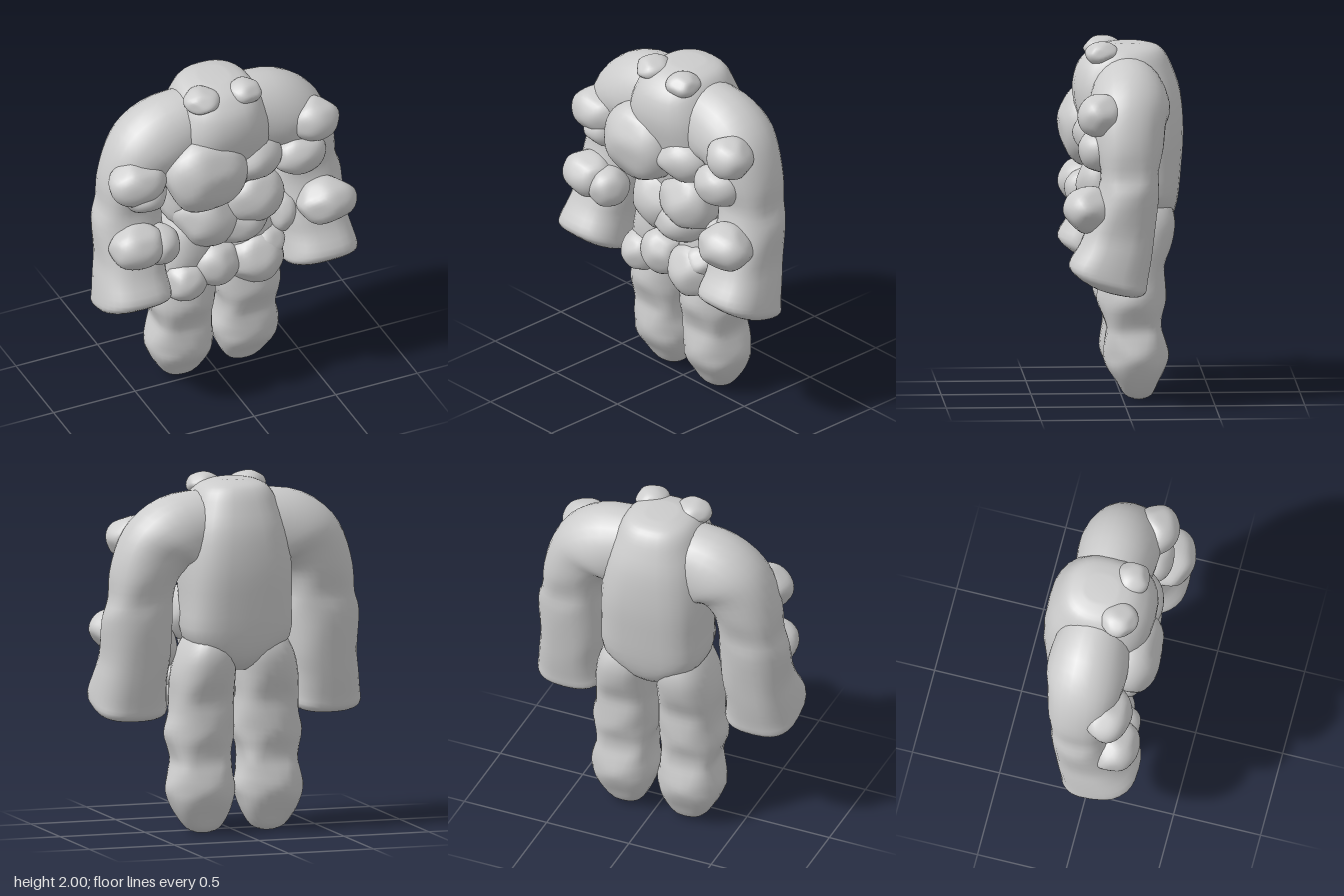
import * as THREE from 'three';
import { mergeVertices } from 'three/addons/utils/BufferGeometryUtils.js';

const stone = new THREE.MeshStandardMaterial({ color: 0xcccccc });
stone.name = 'grey stone';

// Small seeded generator for the rock shapes
function seeded(seed) {
  let s = seed * 7919 + 17;
  return () => (s = (s * 16807) % 2147483647) / 2147483647;
}

// Smoothly interpolate rows of numbers (Catmull-Rom)
function refine(rows, steps) {
  const out = [];
  for (let i = 0; i < rows.length - 1; i++) {
    const a = rows[Math.max(i - 1, 0)], b = rows[i], c = rows[i + 1], d = rows[Math.min(i + 2, rows.length - 1)];
    for (let k = 0; k < steps; k++) {
      const t = k / steps;
      out.push(b.map((v, j) => v + 0.5 * t * (c[j] - a[j] + t * (2 * a[j] - 5 * v + 4 * c[j] - d[j] + t * (3 * (v - c[j]) + d[j] - a[j])))));
    }
  }
  out.push(rows[rows.length - 1]);
  return out;
}

// Loft rounded sections, bottom to top: [x, y, z, width radius, depth radius, squareness, roll, pitch]
function loft(name, rows, side = 1) {
  const rings = refine(rows, 3), n = 28, pos = [], idx = [];
  const tri = (a, b, c) => (side > 0 ? idx.push(a, b, c) : idx.push(a, c, b));
  const bend = (v, power) => Math.sign(v) * Math.abs(v) ** (2 / power);
  for (const [x, y, z, ru, rw, power, roll, pitch] of rings) {
    for (let j = 0; j < n; j++) {
      const t = (j / n) * Math.PI * 2, u = bend(Math.cos(t), power) * ru, w = bend(Math.sin(t), power) * rw;
      pos.push(side * (x + u * Math.cos(roll)), y + u * Math.sin(roll) + w * Math.sin(pitch), z + w * Math.cos(pitch));
    }
  }
  const at = (i, j) => i * n + (j % n), last = rings.length - 1;
  for (let i = 0; i < last; i++) {
    for (let j = 0; j < n; j++) {
      tri(at(i, j), at(i + 1, j), at(i, j + 1));
      tri(at(i + 1, j), at(i + 1, j + 1), at(i, j + 1));
    }
  }
  // End caps
  for (const r of [rings[0], rings[last]]) pos.push(side * r[0], r[1], r[2]);
  const c0 = rings.length * n;
  for (let j = 0; j < n; j++) {
    tri(c0, at(0, j), at(0, j + 1));
    tri(c0 + 1, at(last, j + 1), at(last, j));
  }
  const g = new THREE.BufferGeometry();
  g.setAttribute('position', new THREE.Float32BufferAttribute(pos, 3));
  g.setIndex(idx);
  g.computeVertexNormals();
  const mesh = new THREE.Mesh(g, stone);
  mesh.name = name;
  return mesh;
}

// Worn boulder: a ball softly cut by random planes
function rock(name, seed, [x, y, z], [rx, ry, rz]) {
  const rnd = seeded(seed), v = new THREE.Vector3();
  const planes = Array.from({ length: 14 }, (_, i) => {
    const h = 1 - (2 * i + 1) / 14, a = i * 2.4 + rnd() * 1.2, r = Math.sqrt(1 - h * h);
    return { n: new THREE.Vector3(r * Math.cos(a), h, r * Math.sin(a)), d: 0.93 + 0.14 * rnd() };
  });
  let g = new THREE.IcosahedronGeometry(1, 6);
  g.deleteAttribute('uv');
  g.deleteAttribute('normal');
  g = mergeVertices(g, 1e-4);
  const p = g.attributes.position;
  for (let i = 0; i < p.count; i++) {
    v.fromBufferAttribute(p, i).normalize();
    let sum = 0.15;
    for (const { n, d } of planes) sum += Math.max(n.dot(v) / d, 0) ** 24;
    const r = sum ** (-1 / 24);
    p.setXYZ(i, v.x * r * rx, v.y * r * ry, v.z * r * rz);
  }
  g.computeVertexNormals();
  const mesh = new THREE.Mesh(g, stone);
  mesh.name = name;
  mesh.position.set(x, y, z);
  return mesh;
}

// Upright section given by its back and front depth
const slab = (x, y, rx, back, front, power = 2.4) => [x, y, (back + front) / 2, rx, (front - back) / 2, power, 0, 0];

export function createModel() {
  const model = new THREE.Group();
  model.name = 'rock golem';

  // Torso with the head sunk into it
  model.add(loft('torso', [
    slab(0, 0.92, 0.06, -0.2, -0.05), slab(0, 0.98, 0.17, -0.275, 0.06), slab(0, 1.1, 0.295, -0.315, 0.12, 3),
    slab(0, 1.3, 0.305, -0.337, 0.16, 3), slab(0, 1.5, 0.31, -0.35, 0.22, 2.8), slab(0, 1.7, 0.295, -0.335, 0.27, 2.5),
    slab(0, 1.84, 0.25, -0.29, 0.25), slab(0, 1.92, 0.21, -0.25, 0.19), slab(0, 1.96, 0.16, -0.205, 0.13),
    slab(0, 1.98, 0.08, -0.13, 0.05),
  ]));

  // Knobbly legs: round at the bulges, squarer at the waists
  const legRows = [
    slab(0.19, 0, 0.04, -0.12, -0.06, 2), slab(0.19, 0.025, 0.095, -0.165, -0.01, 2.3), slab(0.195, 0.1, 0.145, -0.2, 0.035, 2.8),
    slab(0.2, 0.18, 0.18, -0.24, 0.09, 2.4), slab(0.2, 0.25, 0.2, -0.26, 0.11, 1.9), slab(0.2, 0.33, 0.175, -0.24, 0.1, 2.7),
    slab(0.195, 0.4, 0.158, -0.218, 0.09, 3.8), slab(0.2, 0.47, 0.17, -0.22, 0.11, 2.9), slab(0.2, 0.56, 0.2, -0.245, 0.145, 1.9),
    slab(0.19, 0.66, 0.18, -0.24, 0.13), slab(0.19, 0.76, 0.17, -0.235, 0.12, 3), slab(0.185, 0.88, 0.175, -0.28, 0.14, 2.3),
    slab(0.17, 1.0, 0.16, -0.295, 0.13), slab(0.155, 1.1, 0.125, -0.265, 0.1), slab(0.14, 1.18, 0.07, -0.18, 0.02),
  ];
  // Arms from the fists up into the shoulders
  const armRows = [
    [0.57, 0.65, 0.04, 0.08, 0.06, 2.2, 0, 0.2], [0.57, 0.665, 0.06, 0.165, 0.135, 2.5, 0, 0.22],
    [0.57, 0.71, 0.09, 0.207, 0.205, 2.8, 0, 0.25], [0.57, 0.77, 0.1, 0.208, 0.225, 2.6, 0, 0.22],
    [0.565, 0.88, 0.06, 0.195, 0.205, 2.5, 0, 0.2],
    [0.55, 1.0, 0.03, 0.19, 0.19, 2.6, 0, 0.1], [0.55, 1.2, -0.01, 0.2, 0.175, 2.1, 0, 0],
    [0.535, 1.32, -0.02, 0.175, 0.16, 2.8, 0, 0], [0.515, 1.45, -0.02, 0.19, 0.19, 2.2, 0.1, 0],
    [0.455, 1.575, -0.022, 0.21, 0.205, 2.2, 0.4, 0], [0.38, 1.64, -0.03, 0.23, 0.225, 2, 0.8, 0],
    [0.27, 1.67, -0.032, 0.245, 0.22, 2, 1.3, 0], [0.1, 1.7, -0.03, 0.22, 0.19, 2.1, 1.57, 0],
  ];
  for (const [word, s] of [['left', 1], ['right', -1]]) {
    model.add(loft(word + ' leg', legRows, s));
    model.add(loft(word + ' arm', armRows, s));
  }

  // Boulders set into the front: name, centre, radii
  const rocks = [
    ['right chest rock', [-0.15, 1.49, 0.16], [0.235, 0.225, 0.185]],
    ['left chest rock', [0.14, 1.49, 0.1], [0.185, 0.14, 0.165]],
    ['left belly rock', [0.165, 1.22, 0.09], [0.18, 0.18, 0.16]],
    ['belly rock', [-0.085, 1.13, 0.06], [0.19, 0.185, 0.165]],
    ['lower belly rock', [0.07, 1.07, 0.07], [0.195, 0.135, 0.155]],
    ['left shoulder rock', [0.535, 1.64, 0.14], [0.135, 0.12, 0.12]],
    ['left upper arm rock', [0.44, 1.44, 0.12], [0.15, 0.125, 0.135]],
    ['left forearm rock', [0.575, 1.12, 0.21], [0.165, 0.125, 0.135]],
    ['left wrist rock', [0.375, 1.03, 0.07], [0.08, 0.13, 0.1]],
    ['right upper arm rock', [-0.545, 1.515, 0.13], [0.16, 0.13, 0.13]],
    ['right elbow rock', [-0.5, 1.42, 0.11], [0.13, 0.1, 0.13]],
    ['right forearm rock', [-0.57, 1.12, 0.18], [0.155, 0.125, 0.13]],
    ['right wrist rock', [-0.43, 1.09, 0.17], [0.11, 0.11, 0.115]],
    ['right hip rock', [-0.235, 0.74, 0.08], [0.12, 0.12, 0.125]],
    ['middle hip rock', [-0.05, 0.81, 0.09], [0.135, 0.13, 0.125]],
    ['left hip rock', [0.195, 0.785, 0.09], [0.16, 0.155, 0.14]],
    ['upper left hip rock', [0.26, 0.86, 0.075], [0.11, 0.095, 0.12]],
    ['right eye', [-0.135, 1.93, 0.095], [0.098, 0.064, 0.1]],
    ['left eye', [0.12, 1.93, 0.11], [0.092, 0.064, 0.092]],
  ];
  rocks.forEach(([name, centre, radii], i) => model.add(rock(name, i + 3, centre, radii)));

  return model;
}
